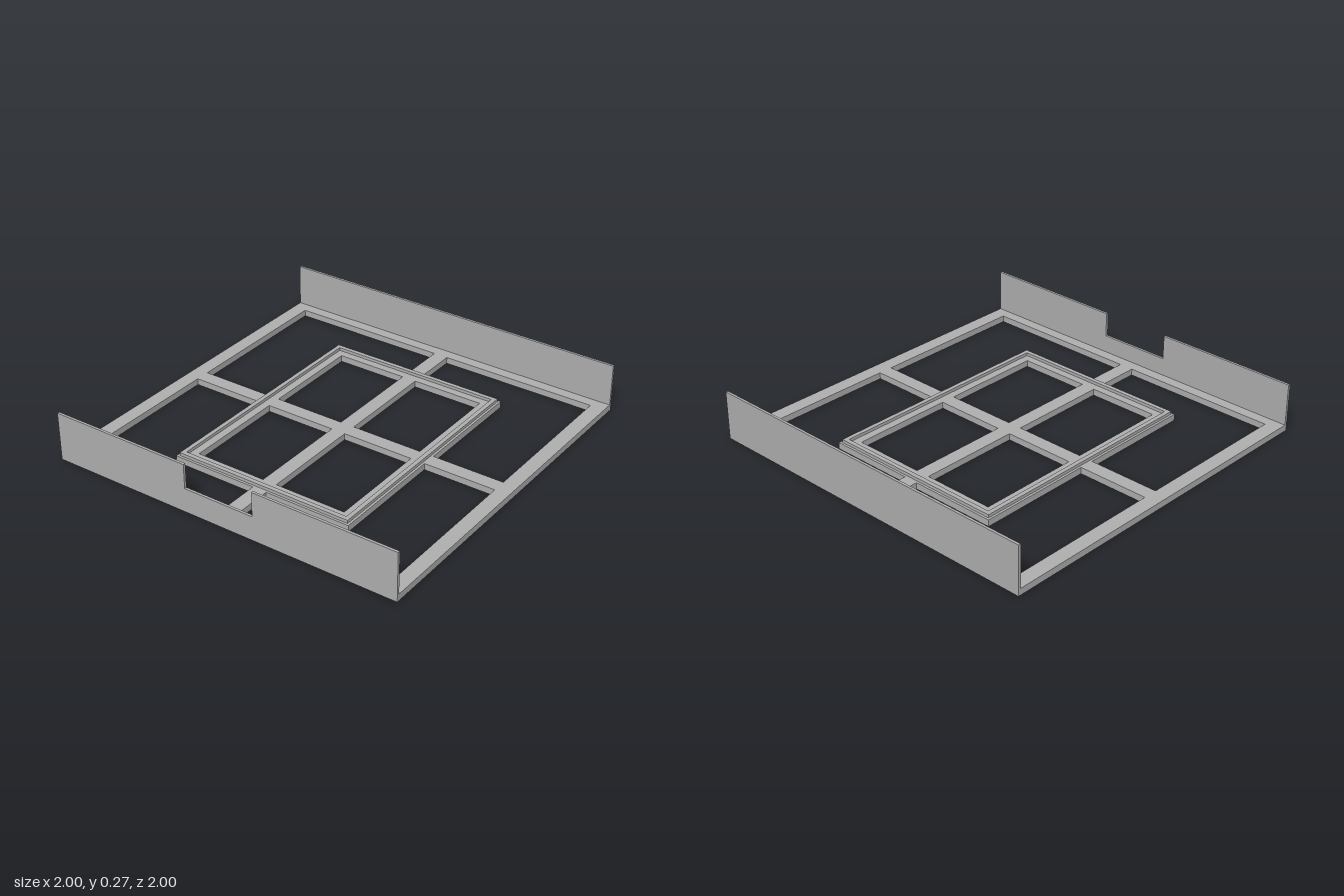
import * as THREE from 'three';

const BASE = 0.036, HEIGHT = 0.267, WALL = 0.014;

// Closed polygon from corner pairs
function trace(path, pts) {
  pts.forEach(([x, y], i) => (i ? path.lineTo(x, y) : path.moveTo(x, y)));
  path.closePath();
  return path;
}

const rect = (x0, y0, x1, y1) => [[x0, y0], [x1, y0], [x1, y1], [x0, y1]];

// Flat plate lying on the ground plane, with cut-outs
function plate(outline, holes, depth) {
  const shape = trace(new THREE.Shape(), outline);
  for (const h of holes) shape.holes.push(trace(new THREE.Path(), h));
  return new THREE.ExtrudeGeometry(shape, { depth, bevelEnabled: false }).rotateX(-Math.PI / 2);
}

export function createModel() {
  const group = new THREE.Group();
  const grey = new THREE.MeshStandardMaterial({ color: 0xb0b0b0 });
  grey.name = 'grey';

  const add = (name, geometry, x = 0, y = 0, z = 0) => {
    const mesh = new THREE.Mesh(geometry, grey);
    mesh.name = name;
    mesh.position.set(x, y, z);
    group.add(mesh);
  };

  // Base: outer frame, inner frame and cross bars in one plate
  const bar = 0.04;
  const holes = [];
  for (const sx of [-1, 1]) {
    for (const sz of [-1, 1]) {
      const mirror = ([x, z]) => [x * sx, z * sz];
      holes.push(rect(bar, bar, 0.44, 0.61).map(mirror));
      holes.push([
        [0.52, bar], [0.92, bar], [0.92, 0.925],
        [bar, 0.925], [bar, 0.69], [0.52, 0.69],
      ].map(mirror));
    }
  }
  add('baseFrame', plate(rect(-1, -1, 1, 1), holes, BASE));

  // Raised lip on the inner frame
  add('lip', plate(
    rect(-0.507, -0.677, 0.507, 0.677),
    [rect(-0.483, -0.653, 0.483, 0.653)], 0.017), 0, BASE, 0);

  // Back wall
  add('backWall', new THREE.BoxGeometry(2, HEIGHT - BASE, WALL),
    0, (HEIGHT + BASE) / 2, -1 + WALL / 2);

  // Front wall with a notch in its top edge
  const front = trace(new THREE.Shape(), [
    [-1, BASE], [1, BASE], [1, HEIGHT], [0.2, HEIGHT],
    [0.2, 0.133], [-0.2, 0.133], [-0.2, HEIGHT], [-1, HEIGHT],
  ]);
  add('frontWall', new THREE.ExtrudeGeometry(front, { depth: WALL, bevelEnabled: false }),
    0, 0, 1 - WALL);

  return group;
}
